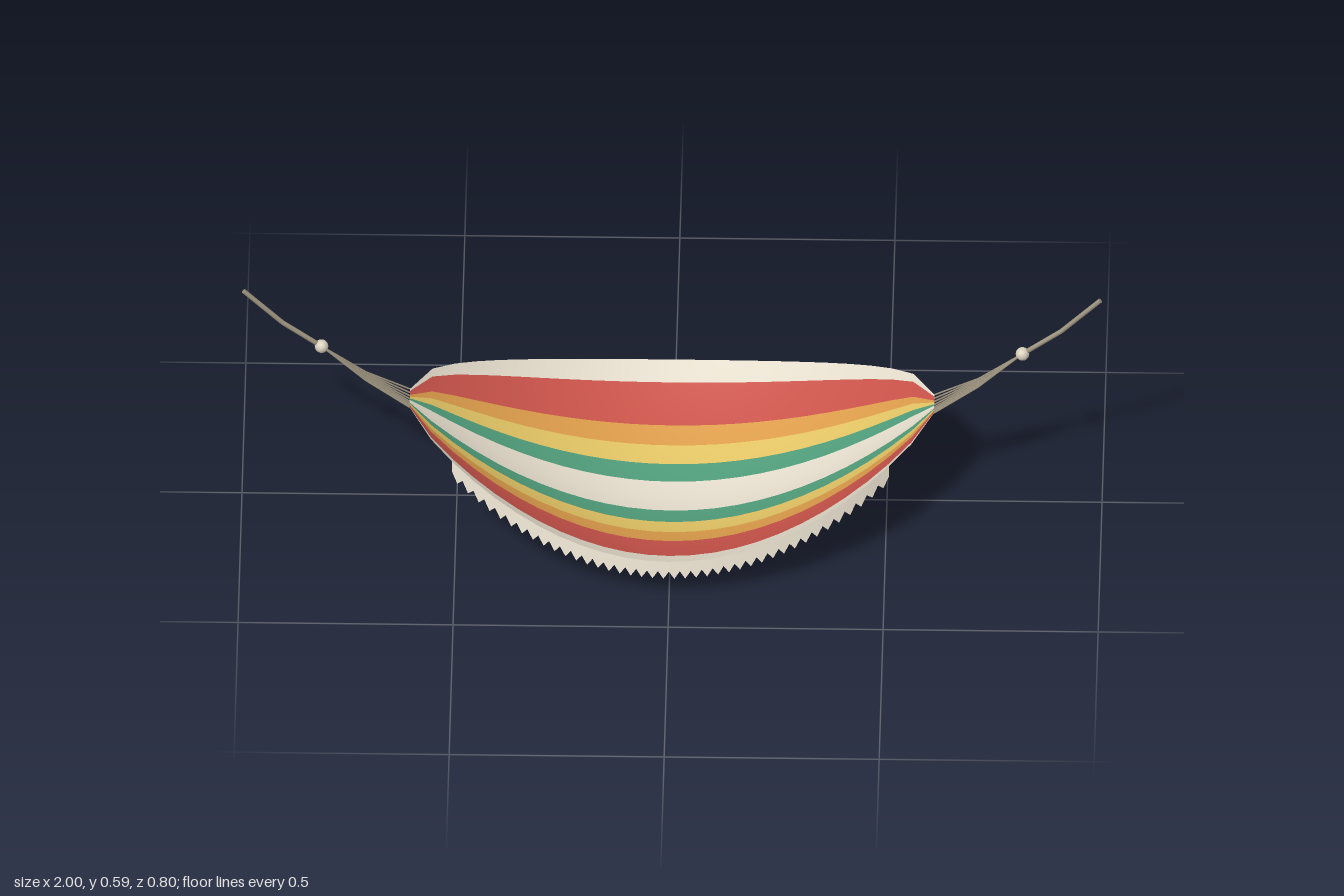
import * as THREE from 'three';

const HALF = 0.61;   // half length of the cloth
const ROWS = 24;     // steps along the length
const BANDS = 14;    // stripes across the width

const mat = (name, color, double) => new THREE.MeshStandardMaterial({
  name, color, side: double ? THREE.DoubleSide : THREE.FrontSide,
});

// Point on the sagging cloth: t runs 0..1 along x, s runs -1..1 across z
const halfWidth = (t) => 0.035 + 0.355 * Math.pow(Math.max(0, Math.sin(Math.PI * t)), 0.62);
function clothPoint(t, s) {
  const x = (2 * t - 1) * HALF, w = halfWidth(t);
  const sag = 0.272 * (2 * t - 1) ** 2;
  return new THREE.Vector3(x, sag + 0.275 * w * Math.pow(Math.abs(s), 1.7), s * w);
}

function buildGeometry(points, index) {
  const g = new THREE.BufferGeometry().setFromPoints(points);
  g.setIndex(index);
  g.computeVertexNormals();
  return g;
}

// Striped cloth: one smooth surface with a material group per stripe
function makeCloth(materials, stripes) {
  const points = [], index = [], groups = [];
  for (let j = 0; j <= BANDS; j++) {
    for (let i = 0; i <= ROWS; i++) points.push(clothPoint(i / ROWS, (2 * j) / BANDS - 1));
  }
  const row = ROWS + 1;
  for (let j = 0; j < BANDS; j++) {
    const start = index.length;
    for (let i = 0; i < ROWS; i++) {
      const a = j * row + i, b = a + row;
      index.push(a, b, a + 1, b, b + 1, a + 1);
    }
    const fromCentre = Math.floor(Math.abs(j - (BANDS - 1) / 2));
    groups.push([start, index.length - start, stripes[fromCentre]]);
  }
  const g = buildGeometry(points, index);
  groups.forEach((gr) => g.addGroup(...gr));
  return new THREE.Mesh(g, materials);
}

// Saw-toothed valance hanging from one long edge
function makeValance(side, material) {
  const points = [], index = [], sub = 4, first = 2, last = ROWS - 2;
  const n = (last - first) * sub;
  for (let k = 0; k <= n; k++) {
    const i = first + Math.floor(k / sub);
    const top = clothPoint(i / ROWS, side)
      .lerp(clothPoint(Math.min(i + 1, ROWS) / ROWS, side), (k % sub) / sub);
    const drop = k % 2 ? 0.042 : 0.024;
    points.push(top, top.clone().add(new THREE.Vector3(0, -drop, side * drop * 0.26)));
    if (k < n) {
      const a = 2 * k;
      if (side > 0) index.push(a, a + 1, a + 2, a + 1, a + 3, a + 2);
      else index.push(a, a + 2, a + 1, a + 1, a + 2, a + 3);
    }
  }
  return new THREE.Mesh(buildGeometry(points, index), material);
}

// Straight piece of cord between two points
function cord(a, b, radius, sides, material) {
  const d = b.clone().sub(a);
  const m = new THREE.Mesh(new THREE.CylinderGeometry(radius, radius, d.length(), sides), material);
  m.position.copy(a).addScaledVector(d, 0.5);
  m.quaternion.setFromUnitVectors(new THREE.Vector3(0, 1, 0), d.normalize());
  return m;
}

export function createModel() {
  const cream = mat('cream cloth', 0xe4dccb, true);
  const green = mat('green cloth', 0x4f9c7a, true);
  const yellow = mat('yellow cloth', 0xe2c464, true);
  const orange = mat('orange cloth', 0xdc9c4a, true);
  const red = mat('red cloth', 0xca534a, true);
  const rope = mat('rope', 0x9a907c);
  const bead = mat('bead', 0xd8cfbd);

  const model = new THREE.Group();
  model.name = 'hammock';
  const add = (parent, mesh, name) => { mesh.name = name; parent.add(mesh); };
  const V = (x, y, z = 0) => new THREE.Vector3(x, y, z);

  // Stripe order from the centre outwards
  add(model, makeCloth([cream, green, yellow, orange, red], [0, 1, 2, 3, 4, 4, 0]), 'stripedCloth');
  add(model, makeValance(1, cream), 'frontValance');
  add(model, makeValance(-1, cream), 'backValance');

  // Suspension at both ends
  for (const s of [1, -1]) {
    const end = new THREE.Group();
    end.name = s > 0 ? 'leftSuspension' : 'rightSuspension';
    const knot = V(s * 0.815, 0.43);

    // Fan of thin strings from the cloth end to the bead
    const count = 9;
    for (let i = 0; i < count; i++) {
      const f = (2 * i) / (count - 1) - 1;
      const edge = clothPoint(s > 0 ? 1 : 0, f);
      const mid = V(s * 0.712, 0.344, f * 0.016);
      add(end, cord(edge, mid, 0.0022, 5, rope), 'string');
      add(end, cord(mid, knot, 0.0022, 5, rope), 'string');
    }

    const ball = new THREE.Mesh(new THREE.SphereGeometry(0.016, 16, 12), bead);
    ball.position.copy(knot);
    add(end, ball, 'bead');

    // Hanging rope with a slight bend
    const bend = V(s * 0.905, 0.497), tip = V(s * 0.996, 0.588);
    add(end, cord(knot, bend, 0.0058, 8, rope), 'lowerRope');
    add(end, cord(bend, tip, 0.0058, 8, rope), 'upperRope');
    const joint = new THREE.Mesh(new THREE.SphereGeometry(0.0058, 8, 6), rope);
    joint.position.copy(bend);
    add(end, joint, 'ropeBend');
    model.add(end);
  }
  return model;
}
